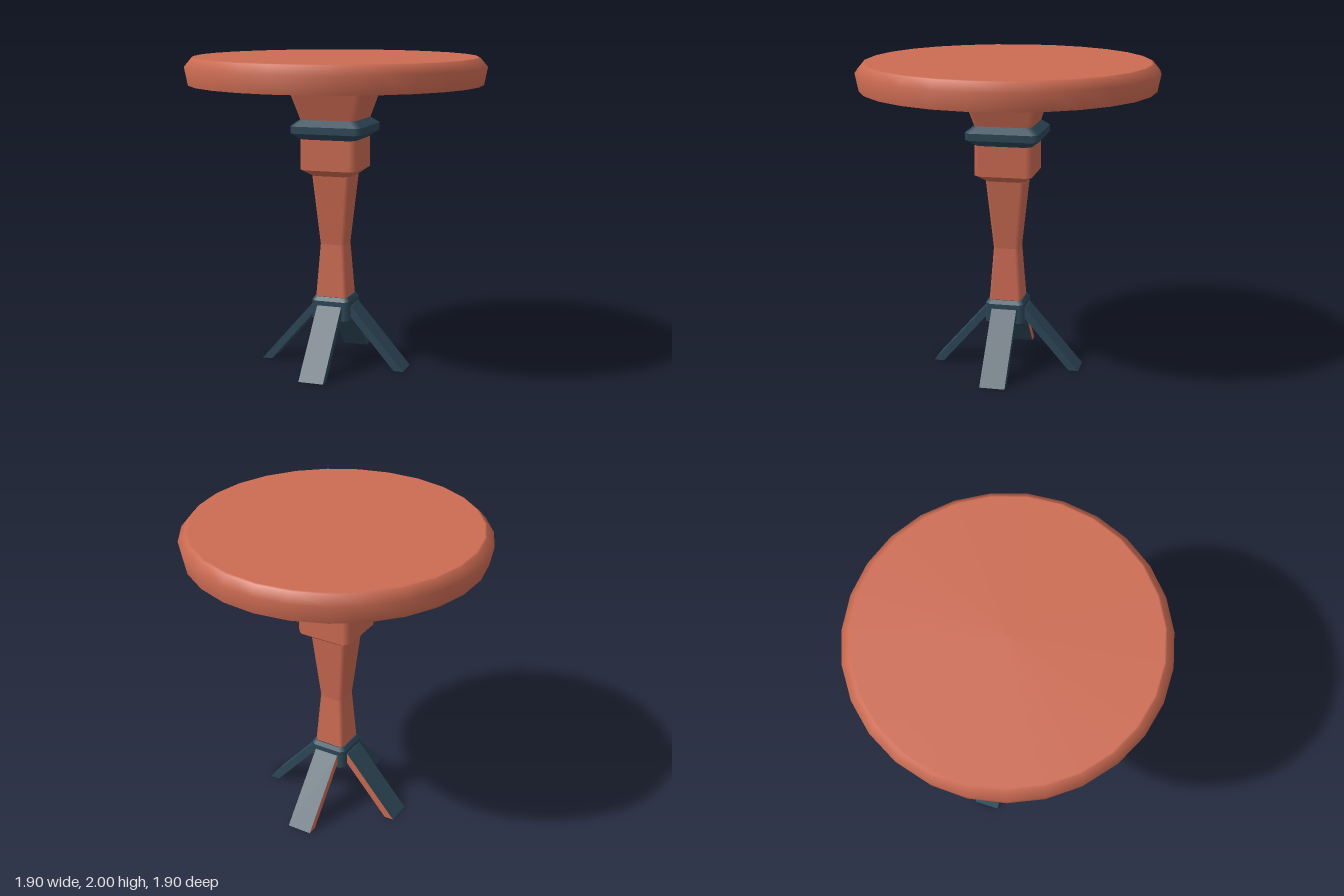
import * as THREE from 'three';

const wood = new THREE.MeshStandardMaterial({ color: 0xcc6b52 });
wood.name = 'terracotta';
const metal = new THREE.MeshStandardMaterial({ color: 0x2d4858 });
metal.name = 'darkTeal';

// Stack of square sections, turned 45 degrees, with soft chamfered corners.
// profile: [corner reach, y] from bottom to top; e: half width of the chamfer
function squareTurning(profile, e) {
  const pos = [], nor = [], idx = [];
  const ring = (r) => {
    const h = (r + e) / Math.SQRT2, k = h - e * Math.SQRT2;
    return { h, k };
  };
  const spin = (k) => Math.PI / 4 + k * Math.PI / 2;
  for (let i = 0; i < profile.length - 1; i++) {
    const [r0, y0] = profile[i], [r1, y1] = profile[i + 1];
    const a = ring(r0), b = ring(r1), base = pos.length / 3;
    const n = new THREE.Vector2(y1 - y0, a.h - b.h).normalize();
    for (let s = 0; s < 4; s++) {
      const c = Math.cos(spin(s)), d = Math.sin(spin(s));
      for (const [q, y] of [[a, y0], [b, y1]]) {
        for (const t of [-q.k, q.k]) {
          pos.push(q.h * c - t * d, y, q.h * d + t * c);
          nor.push(n.x * c, n.y, n.x * d);
        }
      }
      // wide face, then the chamfer that blends into the next face
      const o = base + s * 4, p = base + ((s + 1) % 4) * 4;
      idx.push(o, o + 2, o + 1, o + 1, o + 2, o + 3);
      idx.push(o + 1, o + 3, p, p, o + 3, p + 2);
    }
  }
  // flat end caps
  for (const [end, up] of [[0, -1], [profile.length - 1, 1]]) {
    const [r, y] = profile[end], q = ring(r), base = pos.length / 3;
    for (let s = 0; s < 4; s++) {
      const c = Math.cos(spin(s)), d = Math.sin(spin(s));
      for (const t of [-q.k, q.k]) {
        pos.push(q.h * c - t * d, y, q.h * d + t * c);
        nor.push(0, up, 0);
      }
    }
    for (let j = 1; j < 7; j++) {
      if (up > 0) idx.push(base, base + j + 1, base + j);
      else idx.push(base, base + j, base + j + 1);
    }
  }
  const g = new THREE.BufferGeometry();
  g.setAttribute('position', new THREE.Float32BufferAttribute(pos, 3));
  g.setAttribute('normal', new THREE.Float32BufferAttribute(nor, 3));
  g.setIndex(idx);
  return g;
}

// Slanted bar: a box sheared outward along +x, with level ends
function legGeometry() {
  const height = 0.405, slope = 0.87;
  const g = new THREE.BoxGeometry(0.064, height, 0.163);
  g.translate(0.452, height / 2, 0);
  const p = g.attributes.position;
  for (let i = 0; i < p.count; i++) p.setX(i, p.getX(i) - slope * p.getY(i));
  g.computeVertexNormals();
  return g;
}

export function createModel() {
  const model = new THREE.Group();
  model.name = 'pedestalTable';
  const add = (name, geometry, material, parent = model) => {
    const m = new THREE.Mesh(geometry, material);
    m.name = name;
    parent.add(m);
    return m;
  };

  // Round top with a soft bevelled rim and a flat underside
  const sides = 27, R = 0.954;
  const top = new THREE.Group();
  top.name = 'tableTop';
  model.add(top);
  const rim = [[0.932, 1.828], [R, 1.94], [0.907, 1.995], [0.895, 2], [0, 2]];
  add('topSurface', new THREE.LatheGeometry(rim.map(([x, y]) => new THREE.Vector2(x, y)), sides), wood, top);
  const under = new THREE.CircleGeometry(0.932, sides);
  under.rotateX(Math.PI / 2);
  under.rotateY(-Math.PI / 2);
  under.translate(0, 1.828, 0);
  add('topUnderside', under, wood, top);
  top.rotation.y = -Math.PI / 2 - 0.01;

  // Column, from the flare under the top down to the shaft
  add('columnFlare', squareTurning([[0.235, 1.605], [0.33, 1.83]], 0.024), wood);
  add('columnRing', squareTurning(
    [[0.235, 1.485], [0.305, 1.525], [0.305, 1.57], [0.235, 1.61]], 0.024), metal);
  add('columnBlock', squareTurning([[0.16, 1.25], [0.236, 1.29], [0.236, 1.49]], 0.024), wood);
  add('columnShaft', squareTurning([[0.135, 0.44], [0.1, 0.8], [0.16, 1.255]], 0.014), wood);
  add('footBlock', squareTurning([[0.158, 0.31], [0.158, 0.435], [0.135, 0.46]], 0.022), metal);

  // Four diagonal legs; the two back legs have one painted side facing the back
  const geometry = legGeometry();
  const names = ['backLeftLeg', 'backRightLeg', 'frontRightLeg', 'frontLeftLeg'];
  names.forEach((name, i) => {
    const paint = Array(6).fill(metal);
    if (i === 0) paint[5] = wood;
    if (i === 1) paint[4] = wood;
    add(name, geometry, paint).rotation.y = Math.PI / 4 + i * Math.PI / 2;
  });
  return model;
}
